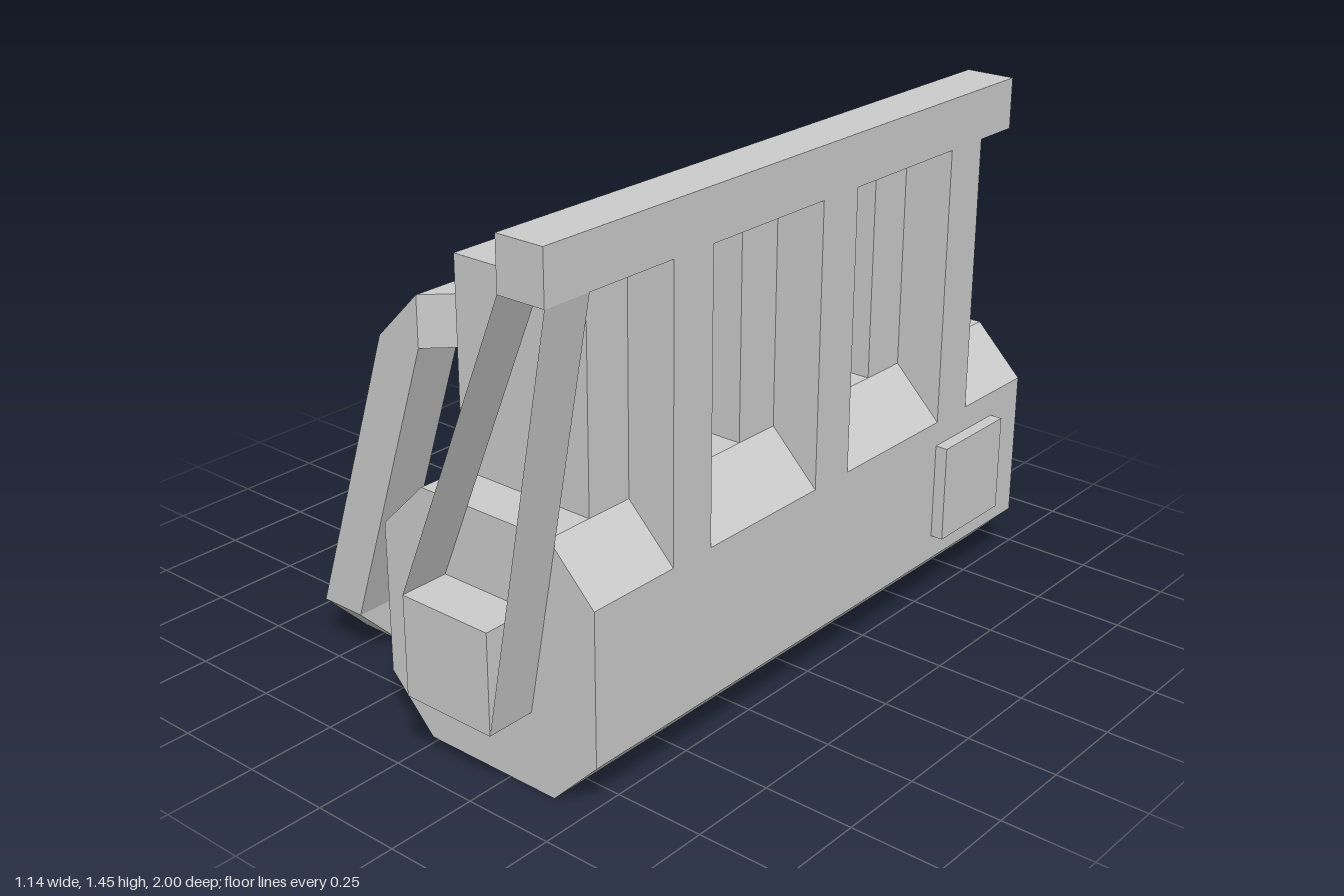
import * as THREE from 'three';

const material = new THREE.MeshStandardMaterial({ color: 0xcccccc, flatShading: true });
const thin = new THREE.MeshStandardMaterial({ color: 0xcccccc, flatShading: true, side: THREE.DoubleSide });

export function createModel() {
  const group = new THREE.Group();

  const add = (name, geometry, mat = material) => {
    const mesh = new THREE.Mesh(geometry, mat);
    mesh.name = name;
    group.add(mesh);
    return mesh;
  };

  // Box given by its limits on each axis
  const box = (name, [x0, x1], [y0, y1], [z0, z1]) =>
    add(name, new THREE.BoxGeometry(x1 - x0, y1 - y0, z1 - z0)
      .translate((x0 + x1) / 2, (y0 + y1) / 2, (z0 + z1) / 2));

  // Flat outline extruded by a depth
  const extrude = (points, depth) => new THREE.ExtrudeGeometry(
    new THREE.Shape(points.map(([a, b]) => new THREE.Vector2(a, b))),
    { depth, bevelEnabled: false });

  // Outline in x and y, running between two z values
  const prism = (name, points, [z0, z1]) =>
    add(name, extrude(points, z1 - z0).translate(0, 0, z0));

  // Thin strip between two (x, y) points, running between two z values
  const strip = (name, [xa, ya], [xb, yb], [z0, z1]) => {
    const geometry = new THREE.BufferGeometry();
    geometry.setAttribute('position', new THREE.Float32BufferAttribute(
      [xa, ya, z0, xa, ya, z1, xb, yb, z1, xb, yb, z0], 3));
    geometry.setIndex([0, 1, 2, 0, 2, 3]);
    geometry.computeVertexNormals();
    add(name, geometry, thin);
  };

  const L = [0.395, 0.532];    // left column of posts and rail
  const R = [-0.157, -0.02];   // right column of posts and rail

  // Crankcase with chamfered long edges
  prism('crankcase', [
    [-0.02, 0], [0.395, 0], [0.532, 0.14], [0.532, 0.553],
    [0.395, 0.69], [-0.02, 0.69], [-0.157, 0.553], [-0.157, 0.14],
  ], [-0.93, 0.862]);

  // Raised plates on the ends and sides
  const plateY = [0.21, 0.483];
  box('frontBlock', [0.05, 0.326], plateY, [0.862, 1]);
  box('backPlate', [0.05, 0.326], plateY, [-1, -0.93]);
  box('leftPlate', [0.532, 0.567], plateY, [-0.793, -0.517]);
  box('rightPlate', [-0.191, -0.157], plateY, [-0.793, -0.517]);

  // Three cylinders, each with posts and ducts on both sides
  for (const z of [0.519, -0.034, -0.586]) {
    const duct = [z - 0.069, z + 0.069];
    box('cylinder', [-0.02, 0.395], [0.69, 1.242], [z - 0.207, z + 0.207]);
    box('leftPost', L, [0.553, 1.315], duct);
    box('rightPost', R, [0.553, 0.967], duct);
    prism('intakeDuct', [[0.222, 1.242], [0.325, 1.242], [0.395, 1.315], [0.395, 1.417]], duct);
    prism('exhaustDuct', [[-0.157, 1.105], [-0.02, 1.105], [-0.02, 1.242]], duct);
  }

  // Left intake rail, with two sloping strips down to the front block
  box('intakeRail', L, [1.315, 1.452], [-0.793, 1]);
  strip('innerIntakeStrip', [0.395, 1.315], [0.05, 0.483], [0.862, 1]);
  strip('outerIntakeStrip', [0.532, 1.315], [0.326, 0.21], [0.862, 1]);

  // Right exhaust rail with a mitred front corner
  box('exhaustRail', R, [0.967, 1.105], [-0.655, 0.588]);
  add('exhaustElbow', extrude([[-0.157, -0.588], [-0.157, -0.725], [-0.02, -0.588]], 0.138)
    .rotateX(-Math.PI / 2).translate(0, 0.967, 0));

  // Exhaust pipe sloping down and out
  prism('exhaustDownpipe', [
    [-0.157, 1.105], [-0.295, 0.967], [-0.57, 0.138], [-0.432, 0.138], [-0.157, 0.967],
  ], [0.588, 0.725]);

  // Tailpipe along the ground, with its front lower corner cut
  add('tailpipe', extrude([[-0.725, 0.138], [-0.588, 0], [0.93, 0], [0.93, 0.138]], 0.138)
    .rotateY(Math.PI / 2).scale(1, 1, 1).translate(-0.57, 0, 0)
    .applyMatrix4(new THREE.Matrix4().makeRotationY(0)));

  return group;
}
